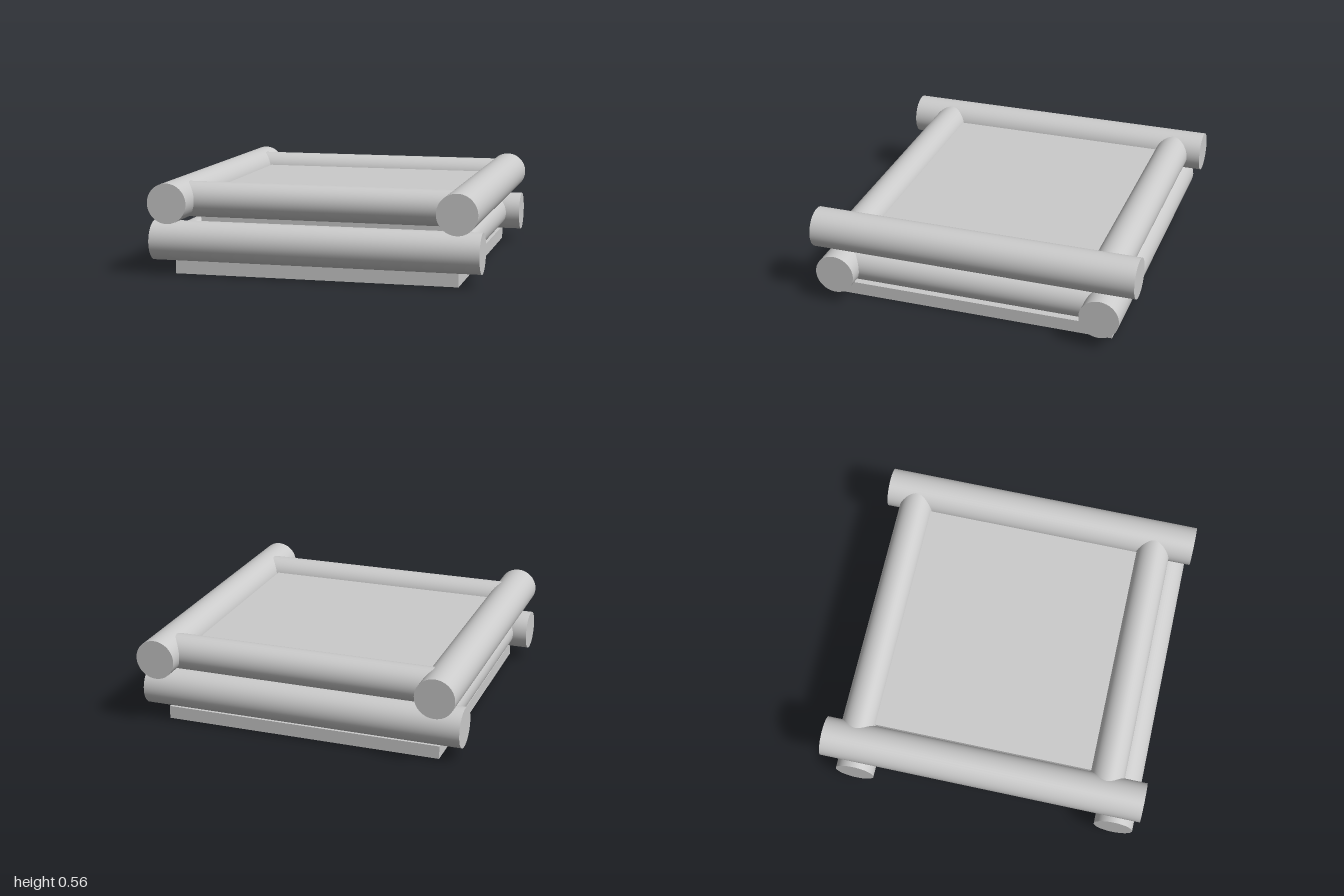
import * as THREE from 'three';

const material = new THREE.MeshStandardMaterial({ color: 0xcccccc });

export function createModel() {
  const model = new THREE.Group();

  // Rectangular block from its centre and size
  function block(name, size, position) {
    const mesh = new THREE.Mesh(new THREE.BoxGeometry(...size), material);
    mesh.name = name;
    mesh.position.set(...position);
    model.add(mesh);
  }

  // Round log lying along the x or z axis
  function log(name, axis, radius, length, position) {
    const geometry = new THREE.CylinderGeometry(radius, radius, length, 48);
    if (axis === 'x') geometry.rotateZ(Math.PI / 2);
    else geometry.rotateX(Math.PI / 2);
    const mesh = new THREE.Mesh(geometry, material);
    mesh.name = name;
    mesh.position.set(...position);
    model.add(mesh);
  }

  // Base plate and the core that fills the log frame
  block('basePlate', [1.72, 0.08, 1.72], [0, 0.04, 0.01]);
  block('core', [1.48, 0.39, 1.475], [0, 0.275, 0.008]);

  const thick = 0.121, thin = 0.107;

  // Lower course: thick logs across, thin logs between them
  for (const z of [0.85, -0.8]) log('lowerLog', 'x', thick, 1.99, [0, 0.199, z]);
  for (const x of [-0.8, 0.8]) log('lowerSideLog', 'z', thin, 1.62, [x, 0.198, 0.025]);

  // Upper course: thick logs front to back, thin logs between them
  for (const x of [-0.866, 0.869]) log('upperLog', 'z', thick, 2, [x, 0.441, 0]);
  for (const z of [0.752, -0.81]) log('upperCrossLog', 'x', thin, 1.7, [0, 0.44, z]);

  return model;
}
